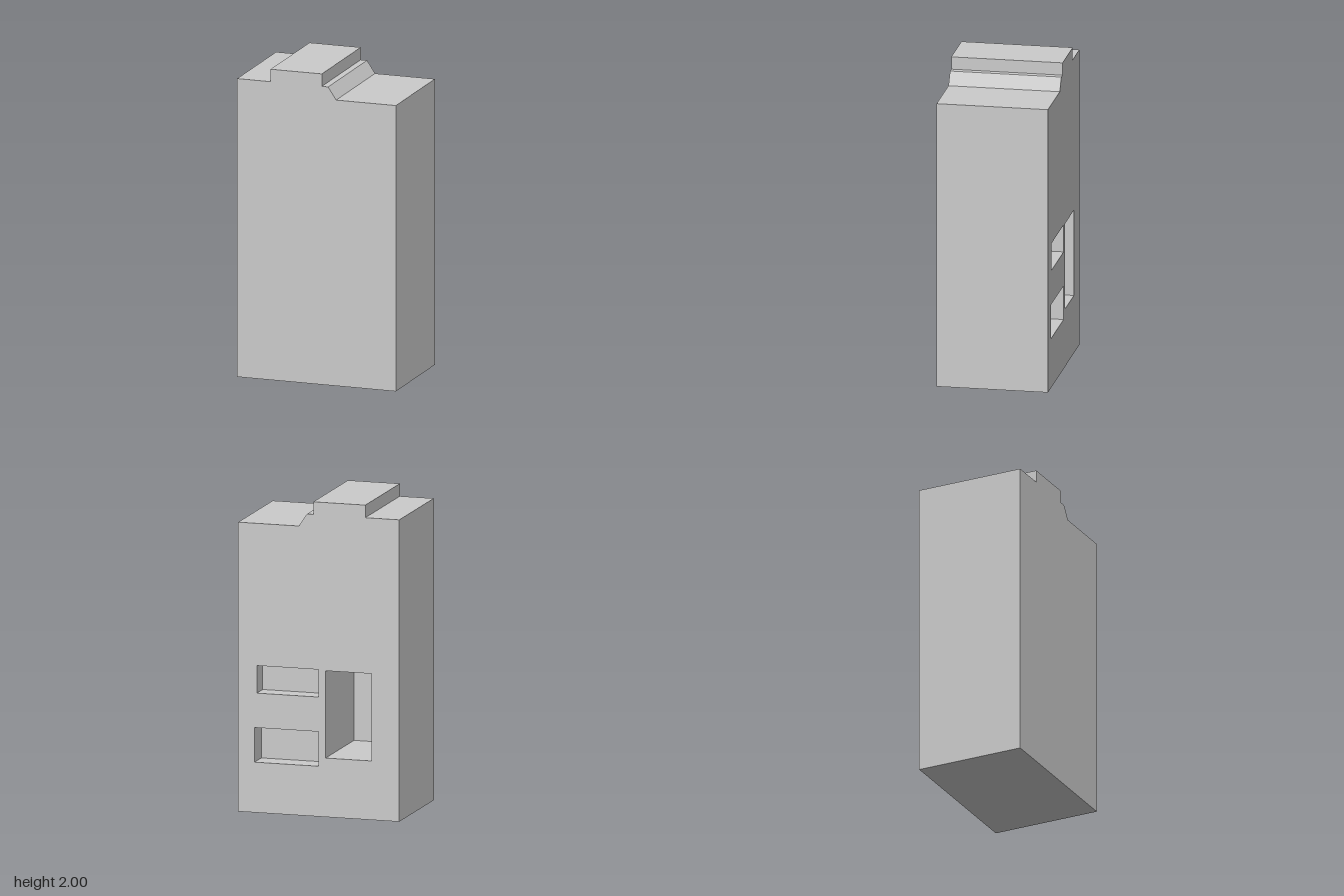
import * as THREE from 'three';

const Z = 0.353; // half depth of the block

// Flat panel at depth z, facing the front or the back
function panel(points, z, facesBack, holes = []) {
  const shape = new THREE.Shape(points);
  holes.forEach((h) => shape.holes.push(new THREE.Path(h)));
  const geo = new THREE.ShapeGeometry(shape);
  if (facesBack) geo.index.array.reverse();
  geo.translate(0, 0, z);
  geo.computeVertexNormals();
  return geo;
}

// Band of quads following a closed outline between two depths;
// counter-clockwise outlines face outwards, clockwise ones inwards
function band(points, zBack, zFront) {
  const pos = [];
  points.forEach((a, i) => {
    const b = points[(i + 1) % points.length];
    pos.push(a.x, a.y, zFront, a.x, a.y, zBack, b.x, b.y, zBack);
    pos.push(a.x, a.y, zFront, b.x, b.y, zBack, b.x, b.y, zFront);
  });
  const geo = new THREE.BufferGeometry();
  geo.setAttribute('position', new THREE.Float32BufferAttribute(pos, 3));
  geo.computeVertexNormals();
  return geo;
}

const rect = (x0, x1, y0, y1) =>
  [[x0, y0], [x0, y1], [x1, y1], [x1, y0]].map((p) => new THREE.Vector2(...p)); // clockwise

export function createModel() {
  const group = new THREE.Group();
  const material = new THREE.MeshStandardMaterial({ color: 0xcccccc, flatShading: true });
  const add = (name, geo, parent = group) => {
    const mesh = new THREE.Mesh(geo, material);
    mesh.name = name;
    parent.add(mesh);
  };

  // Stepped outline of the block, with the raised ridge and bevel on top
  const outline = [
    [-0.527, 0], [0.527, 0], [0.527, 1.84], [0.13, 1.84], [0.077, 1.92],
    [0.035, 1.92], [0.035, 2], [-0.305, 2], [-0.305, 1.92], [-0.527, 1.92],
  ].map((p) => new THREE.Vector2(...p));

  // Recesses in the back face
  const pockets = [
    { name: 'upperSlot', rect: rect(0, 0.405, 0.76, 0.935), depth: 0.12 },
    { name: 'lowerSlot', rect: rect(0, 0.42, 0.32, 0.54), depth: 0.14 },
    { name: 'deepSocket', rect: rect(-0.345, -0.045, 0.375, 0.93), depth: 0.58 },
  ];

  // Outer block
  add('frontFace', panel(outline, Z, false));
  add('backFace', panel(outline, -Z, true, pockets.map((p) => p.rect)));
  add('outerWalls', band(outline, -Z, Z));

  // Walls and end of each recess
  for (const p of pockets) {
    const pocket = new THREE.Group();
    pocket.name = p.name;
    add(p.name + 'Walls', band(p.rect, -Z, -Z + p.depth), pocket);
    add(p.name + 'End', panel(p.rect, -Z + p.depth, true), pocket);
    group.add(pocket);
  }
  return group;
}
